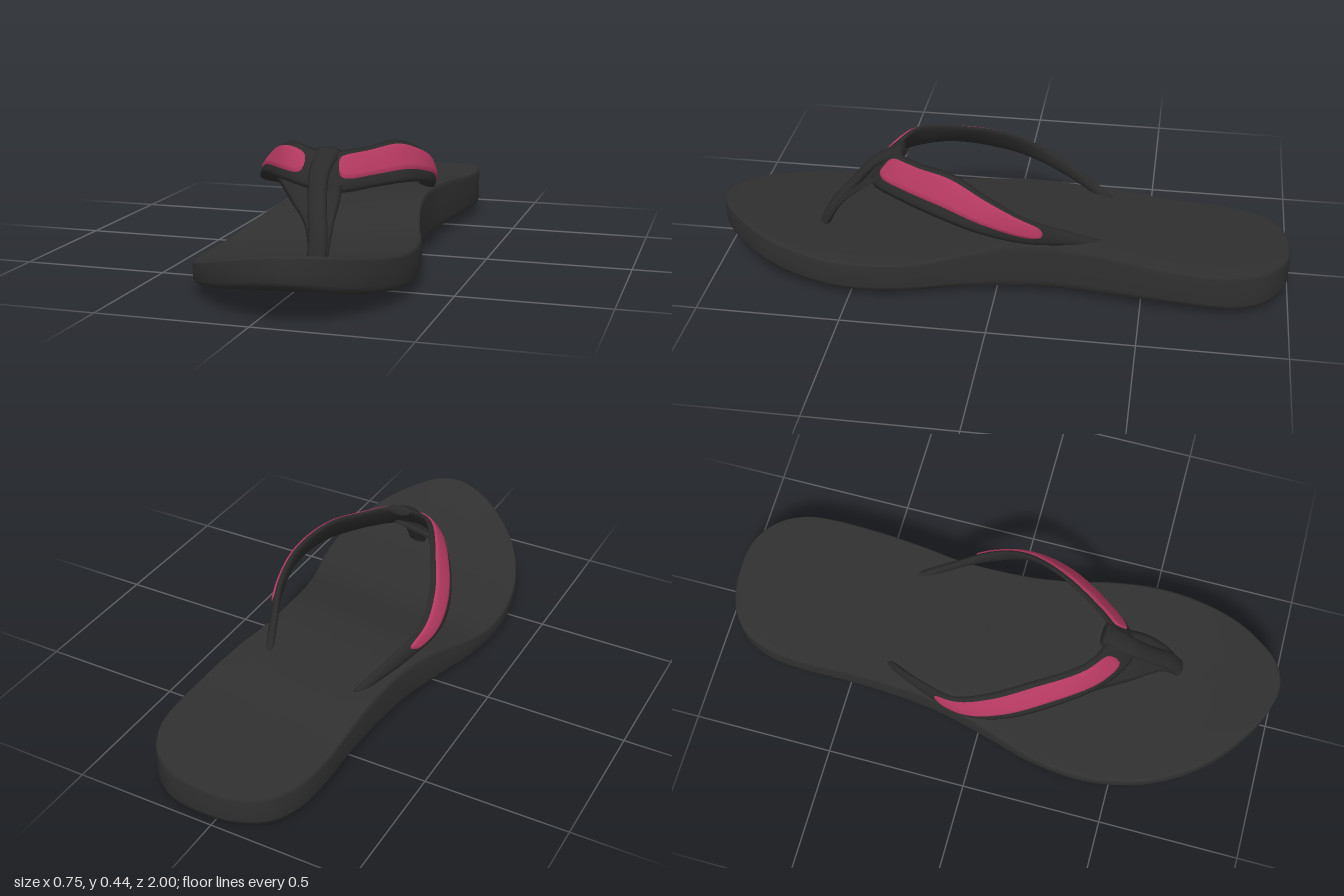
import * as THREE from 'three';

const rubber = new THREE.MeshStandardMaterial({ color: 0x303030 });
rubber.name = 'charcoal rubber';
const webbing = new THREE.MeshStandardMaterial({ color: 0x2a2a2a });
webbing.name = 'dark strap';
const fabric = new THREE.MeshStandardMaterial({ color: 0xb2385f });
fabric.name = 'raspberry fabric';

// Smooth surface through a grid of points
function skin(rows, closeRows, closeCols) {
  const n = rows.length, m = rows[0].length, index = [];
  for (let i = 0; i < (closeRows ? n : n - 1); i++) {
    for (let j = 0; j < (closeCols ? m : m - 1); j++) {
      const k = (i + 1) % n, l = (j + 1) % m;
      index.push(i * m + j, k * m + j, i * m + l, k * m + j, k * m + l, i * m + l);
    }
  }
  const geo = new THREE.BufferGeometry().setFromPoints(rows.flat());
  geo.setIndex(index);
  geo.computeVertexNormals();
  return geo;
}

const curve = (pts, closed = false) =>
  new THREE.CatmullRomCurve3(pts.map((p) => new THREE.Vector3(...p)), closed, 'centripetal');

function heightCurve(pairs) {
  const f = new THREE.CubicInterpolant(pairs.map((p) => p[0]), pairs.map((p) => p[1]), 1, [0]);
  return (z) => f.evaluate(z)[0];
}

// Footbed and underside heights along the length, both tilted sideways
const topMid = heightCurve([[-1, 0.138], [-0.8, 0.14], [-0.6, 0.148], [-0.45, 0.165], [-0.3, 0.176],
  [-0.05, 0.17], [0.1, 0.14], [0.25, 0.11], [0.4, 0.106], [0.6, 0.118], [0.8, 0.155], [1, 0.212]]);
const lowMid = heightCurve([[-1, 0.02], [-0.9, 0.013], [-0.6, 0.026], [-0.3, 0.024], [0, 0.014],
  [0.3, 0.013], [0.5, 0.018], [0.7, 0.042], [0.9, 0.085], [1, 0.12]]);
const topAt = (x, z) => topMid(z) + 0.1 * x;
const lowAt = (x, z) => lowMid(z) + 0.03 * x;

// Outline from toe along the left side to the heel and back
const outline = curve([
  [0.09, 0, 1], [0.17, 0, 0.97], [0.24, 0, 0.9], [0.305, 0, 0.8], [0.355, 0, 0.65], [0.37, 0, 0.5],
  [0.35, 0, 0.33], [0.305, 0, 0.17], [0.27, 0, 0], [0.262, 0, -0.2], [0.285, 0, -0.38], [0.305, 0, -0.55],
  [0.312, 0, -0.7], [0.3, 0, -0.82], [0.25, 0, -0.92], [0.16, 0, -0.985], [0.04, 0, -1], [-0.08, 0, -0.98],
  [-0.17, 0, -0.92], [-0.22, 0, -0.82], [-0.238, 0, -0.7], [-0.24, 0, -0.5], [-0.25, 0, -0.3],
  [-0.268, 0, -0.15], [-0.31, 0, 0.03], [-0.355, 0, 0.2], [-0.375, 0, 0.37], [-0.365, 0, 0.5],
  [-0.325, 0, 0.65], [-0.24, 0, 0.8], [-0.14, 0, 0.9], [-0.02, 0, 0.975]], true);

function soleGeometry() {
  // [distance from spine, share of thickness]
  const profile = [[0, 0], [0.33, 0], [0.66, 0], [0.92, 0], [0.975, 0.06], [1, 0.2], [1, 0.55],
    [1, 0.88], [0.99, 0.97], [0.97, 1], [0.66, 1], [0.33, 1], [0, 1]];
  const rows = outline.getSpacedPoints(200).slice(0, 200).map((p) => {
    const spine = new THREE.Vector3(0.03, 0, THREE.MathUtils.clamp(p.z, -0.75, 0.65));
    return profile.map(([s, h]) => {
      const q = spine.clone().lerp(p, s);
      q.y = THREE.MathUtils.lerp(lowAt(q.x, q.z), topAt(q.x, q.z), h);
      return q;
    });
  });
  return skin(rows, true, false);
}

// Band between two edge curves; off is measured along the outward normal
function bandPoint(a, b, u, v, off) {
  const p = a.getPoint(u), q = b.getPoint(u);
  const t = a.getTangent(u).add(b.getTangent(u));
  const n = t.cross(q.clone().sub(p)).normalize();
  return p.lerp(q, v).addScaledVector(n, off);
}
const bulge = (v, th) => th * Math.sqrt(Math.max(0, Math.sin(Math.PI * v)));

function bandGeometry(a, b, th) {
  const rows = [], N = 48, M = 12;
  for (let i = 0; i <= N; i++) {
    const row = [];
    for (let j = 0; j < 2 * M; j++) {
      const v = j <= M ? j / M : 2 - j / M;
      row.push(bandPoint(a, b, i / N, v, bulge(v, j <= M ? th : -th)));
    }
    rows.push(row);
  }
  // closed ends
  for (const u of [0, 1]) {
    const cap = Array.from({ length: 2 * M }, () => bandPoint(a, b, u, 0.5, 0));
    if (u) rows.push(cap); else rows.unshift(cap);
  }
  return skin(rows, false, true);
}

// Rounded fabric inlay lying on the outside of a band
function inlayGeometry(a, b, th, [u0, u1], [v0, v1]) {
  const rows = [], N = 60, M = 10;
  for (let i = 0; i <= N; i++) {
    const s = i / N, round = Math.sqrt(1 - Math.abs(2 * s - 1) ** 14), row = [];
    for (let j = 0; j <= M; j++) {
      const v = (v0 + v1) / 2 + (v1 - v0) * (j / M - 0.5) * round;
      const rim = i === 0 || i === N || j === 0 || j === M;
      row.push(bandPoint(a, b, u0 + (u1 - u0) * s, v, bulge(v, th) + (rim ? -0.003 : 0.005)));
    }
    rows.push(row);
  }
  return skin(rows, false, false);
}

export function createModel() {
  const model = new THREE.Group();
  model.name = 'sandal';
  const add = (name, geo, mat, parent = model) => {
    const mesh = new THREE.Mesh(geo, mat);
    mesh.name = name;
    parent.add(mesh);
  };

  add('sole', soleGeometry(), rubber);

  // Wavy tread ribs under the sole
  const tread = new THREE.Group();
  tread.name = 'tread';
  model.add(tread);
  for (let k = 0; k < 17; k++) {
    const z = -0.84 + k * 0.1, pts = [];
    const half = 0.2 + 0.08 * THREE.MathUtils.smoothstep(z, -0.1, 0.3) - 0.12 * THREE.MathUtils.smoothstep(z, 0.55, 0.85);
    for (let i = 0; i <= 16; i++) {
      const x = 0.02 + half * (i / 8 - 1), zz = z + 0.018 * Math.sin(i * Math.PI / 2);
      pts.push([x, lowAt(x, zz) + 0.003, zz]);
    }
    add('treadRib', new THREE.TubeGeometry(curve(pts), 48, 0.007, 6), rubber, tread);
  }

  // Side straps: lower outer edge and upper inner edge
  const leftOuter = curve([[0.05, 0.305, 0.48], [0.11, 0.3, 0.45], [0.2, 0.305, 0.34], [0.28, 0.3, 0.2],
    [0.313, 0.27, 0.05], [0.285, 0.225, -0.1], [0.24, 0.2, -0.22], [0.2, 0.18, -0.31]]);
  const leftInner = curve([[0.03, 0.42, 0.38], [0.08, 0.422, 0.36], [0.14, 0.425, 0.28], [0.21, 0.432, 0.15],
    [0.265, 0.385, 0.02], [0.27, 0.32, -0.1], [0.22, 0.25, -0.23], [0.16, 0.18, -0.37]]);
  const rightOuter = curve([[0.07, 0.305, 0.48], [0, 0.315, 0.47], [-0.11, 0.325, 0.4], [-0.22, 0.315, 0.26],
    [-0.295, 0.265, 0.1], [-0.31, 0.23, -0.02], [-0.265, 0.19, -0.17], [-0.19, 0.145, -0.31]]);
  const rightInner = curve([[0.07, 0.42, 0.38], [0, 0.425, 0.37], [-0.09, 0.44, 0.32], [-0.19, 0.395, 0.15],
    [-0.25, 0.345, 0.02], [-0.27, 0.285, -0.1], [-0.22, 0.22, -0.25], [-0.16, 0.15, -0.38]]);
  const th = 0.014;
  for (const [side, a, b, u, v] of [
    ['left', leftOuter, leftInner, [0.12, 0.78], [0.24, 0.9]],
    ['right', rightInner, rightOuter, [0.17, 0.8], [0.14, 0.8]]]) {
    add(side + 'Strap', bandGeometry(a, b, th), webbing);
    add(side + 'StrapInlay', inlayGeometry(a, b, th, u, v), fabric);
  }

  // Web joining the straps to the toe post
  add('toeWeb', bandGeometry(
    curve([[-0.14, 0.325, 0.37], [-0.05, 0.275, 0.49], [0.03, 0.215, 0.58], [0.065, 0.12, 0.64]]),
    curve([[0.11, 0.33, 0.43], [0.125, 0.29, 0.5], [0.127, 0.22, 0.58], [0.125, 0.12, 0.64]]), 0.01), webbing);
  add('toePost', bandGeometry(
    curve([[-0.005, 0.42, 0.36], [0.005, 0.36, 0.46], [0.025, 0.28, 0.535], [0.05, 0.2, 0.605], [0.06, 0.11, 0.65]]),
    curve([[0.085, 0.42, 0.36], [0.075, 0.36, 0.46], [0.09, 0.28, 0.535], [0.115, 0.2, 0.605], [0.125, 0.11, 0.65]]), 0.018), webbing);

  return model;
}
